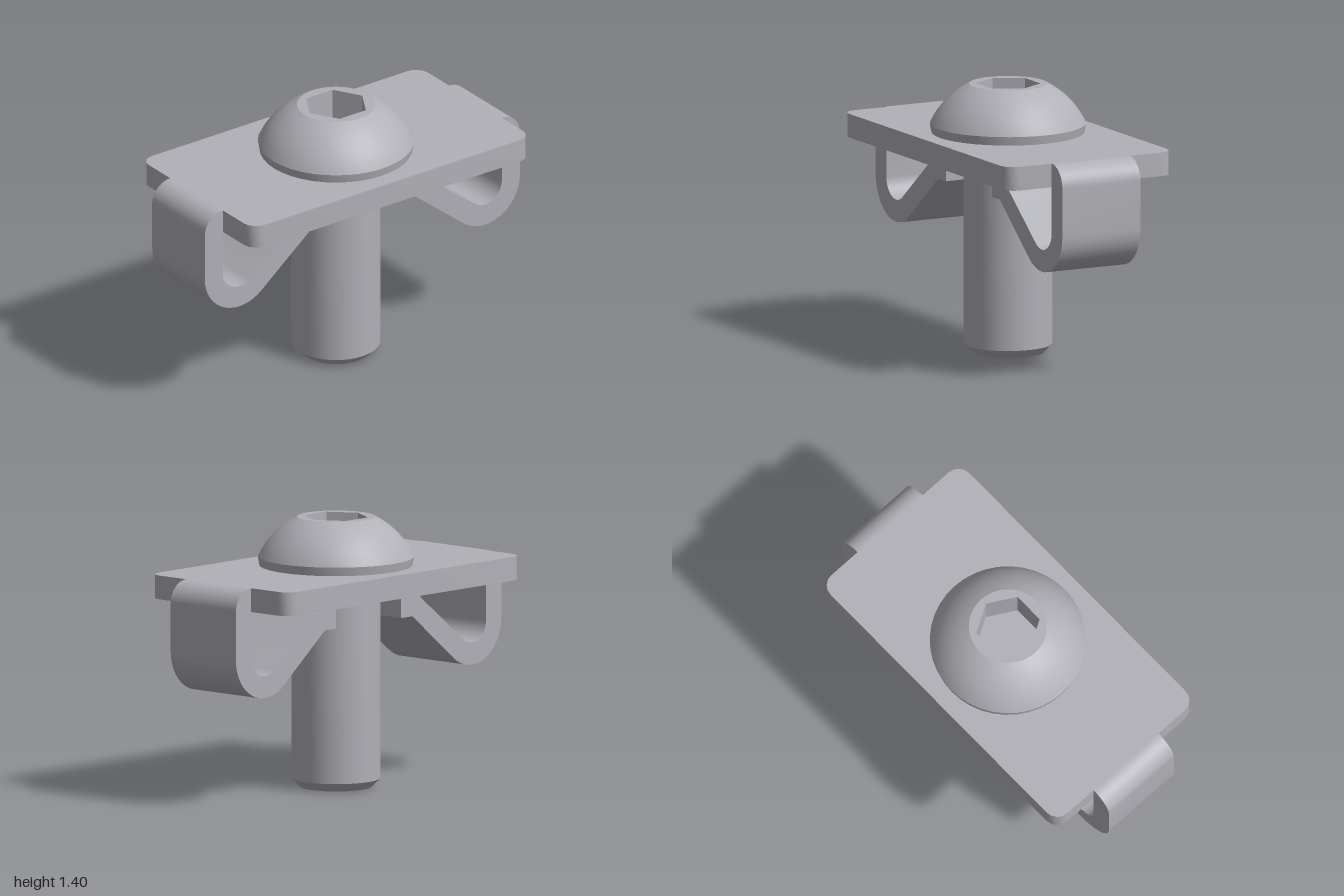
import * as THREE from 'three';
import { toCreasedNormals } from 'three/addons/utils/BufferGeometryUtils.js';

const steel = new THREE.MeshStandardMaterial({ color: 0xb0b0b7, side: THREE.DoubleSide });
steel.name = 'steel';

function part(name, geometry, crease = 0.6) {
  const g = toCreasedNormals(geometry.index ? geometry.toNonIndexed() : geometry, crease);
  const mesh = new THREE.Mesh(g, steel);
  mesh.name = name;
  return mesh;
}

const lathe = (points) =>
  new THREE.LatheGeometry(points.map(([r, y]) => new THREE.Vector2(r, y)), 40);

// Rectangular plate with rounded corners
function plateGeometry(w, d, r, bottom, top) {
  const s = new THREE.Shape();
  s.absarc(w - r, d - r, r, 0, Math.PI / 2);
  s.absarc(-w + r, d - r, r, Math.PI / 2, Math.PI);
  s.absarc(-w + r, -d + r, r, Math.PI, Math.PI * 1.5);
  s.absarc(w - r, -d + r, r, Math.PI * 1.5, Math.PI * 2);
  s.closePath();
  return new THREE.ExtrudeGeometry(s, { depth: top - bottom, bevelEnabled: false, curveSegments: 2 })
    .rotateX(-Math.PI / 2).translate(0, bottom, 0);
}

// Bent spring strip: side profile (z, y) extruded across x
function clipGeometry(halfWidth) {
  const slope = THREE.MathUtils.degToRad(129.5);
  const s = new THREE.Shape();
  s.moveTo(0.885, 1.145);
  s.absarc(0.885, 1.03, 0.115, Math.PI / 2, 0, true);
  s.absarc(0.78, 0.785, 0.22, 0, -slope, true);
  s.lineTo(0.33, 0.865);
  s.lineTo(0.245, 0.865);
  s.lineTo(0.245, 0.975);
  s.absarc(0.33, 0.865, 0.11, Math.PI / 2, Math.PI - slope, true);
  s.absarc(0.78, 0.785, 0.105, -slope, 0, false);
  s.lineTo(0.885, 1.02);
  s.closePath();
  return new THREE.ExtrudeGeometry(s, { depth: 2 * halfWidth, bevelEnabled: false, curveSegments: 8 })
    .translate(0, 0, -halfWidth).rotateY(-Math.PI / 2);
}

// Flat crown of the head with a hexagonal socket
function crownGeometry(radius, hexRadius, depth, top) {
  const s = new THREE.Shape();
  s.absarc(0, 0, radius, 0, Math.PI * 2);
  const hex = [];
  for (let i = 0; i < 6; i++) {
    const a = -i * Math.PI / 3;
    hex.push(new THREE.Vector2(Math.sin(a) * hexRadius, Math.cos(a) * hexRadius));
  }
  s.holes.push(new THREE.Path(hex));
  return new THREE.ExtrudeGeometry(s, { depth, bevelEnabled: false, curveSegments: 20 })
    .rotateX(-Math.PI / 2).translate(0, top - depth, 0);
}

export function createModel() {
  const model = new THREE.Group();
  model.name = 'screwWithSpringClip';

  model.add(part('plate', plateGeometry(0.485, 0.885, 0.075, 1.022, 1.145), 0.9));

  // Spring clips at both ends
  for (const [name, turn] of [['frontClip', 0], ['backClip', Math.PI]]) {
    const clip = part(name, clipGeometry(0.227));
    clip.rotation.y = turn;
    model.add(clip);
  }

  // Shaft with chamfered tip
  model.add(part('shaft', lathe([[0, 0], [0.183, 0], [0.228, 0.045], [0.228, 1.03]])));

  // Button head: arc of a sphere above a short undercut
  const dome = [[0.392, 1.145], [0.4, 1.19]];
  const a0 = Math.atan2(0.19, 0.4), a1 = Math.atan2(0.395, 0.2), r = 0.443;
  for (let i = 1; i <= 8; i++) {
    const a = a0 + (a1 - a0) * i / 8;
    dome.push([r * Math.cos(a), 1 + r * Math.sin(a)]);
  }
  model.add(part('headDome', lathe(dome)));
  const top = dome[dome.length - 1];
  model.add(part('headCrown', crownGeometry(top[0], 0.166, 0.2, top[1])));
  const floor = new THREE.CircleGeometry(0.17, 6, Math.PI / 2)
    .rotateX(-Math.PI / 2).translate(0, top[1] - 0.2, 0);
  model.add(part('socketFloor', floor));

  return model;
}
